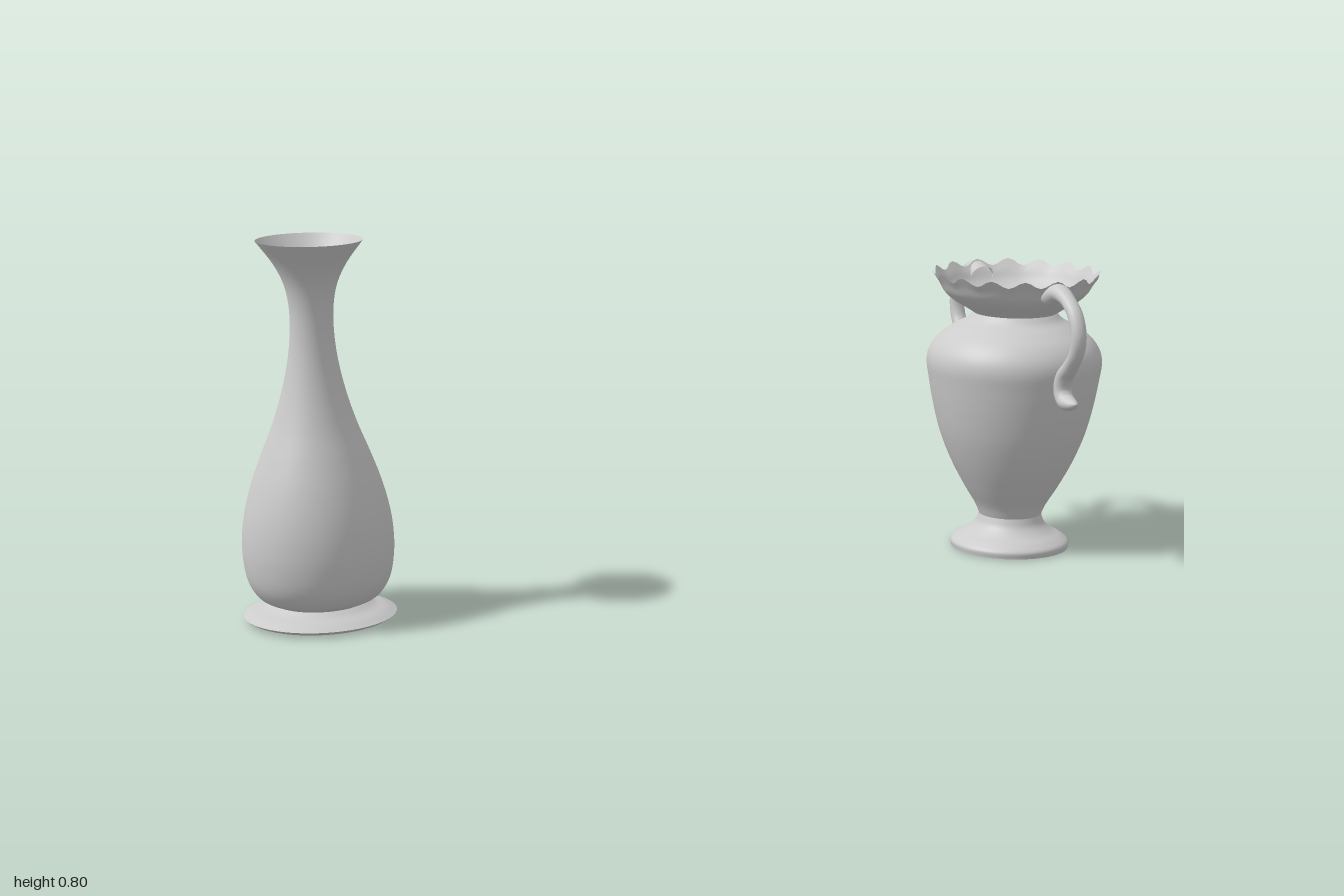
import * as THREE from 'three';

const material = new THREE.MeshStandardMaterial({ color: 0xcccccc, side: THREE.DoubleSide });
const SEGMENTS = 96;

// Smooth lathe through a few [radius, height] points, bottom to top.
function turned(name, points, steps = 60) {
  const curve = new THREE.CatmullRomCurve3(
    points.map(([r, y]) => new THREE.Vector3(r, y, 0)), false, 'centripetal');
  const profile = curve.getPoints(steps).map((p) => new THREE.Vector2(Math.max(p.x, 0), p.y));
  const mesh = new THREE.Mesh(new THREE.LatheGeometry(profile, SEGMENTS), material);
  mesh.name = name;
  return mesh;
}

// Slender bottle on a thin saucer foot
function createBottle() {
  const bottle = new THREE.Group();
  bottle.name = 'bottle';
  const underside = turned('footUnderside', [[0, 0.004], [0.08, 0.004], [0.145, 0.006], [0.16, 0.015]], 12);
  const foot = turned('foot', [[0.16, 0.015], [0.14, 0.024], [0.115, 0.032], [0.098, 0.041]], 16);
  const body = turned('bottleBody', [
    [0.098, 0.041], [0.125, 0.055], [0.147, 0.088], [0.157, 0.14], [0.157, 0.19], [0.15, 0.24],
    [0.134, 0.3], [0.112, 0.36], [0.088, 0.42], [0.066, 0.49], [0.051, 0.56], [0.045, 0.62],
    [0.046, 0.67], [0.055, 0.715], [0.075, 0.757], [0.11, 0.805],
  ]);
  bottle.add(underside, foot, body);
  return bottle;
}

// Flared collar whose edge ripples into scallops
function createCollar() {
  const collar = turned('scallopedCollar', [
    [0.095, 0.557], [0.115, 0.57], [0.145, 0.588], [0.165, 0.607], [0.177, 0.628], [0.189, 0.646],
  ], 24);
  const pos = collar.geometry.attributes.position;
  for (let i = 0; i < pos.count; i++) {
    const x = pos.getX(i), y = pos.getY(i), z = pos.getZ(i);
    const t = THREE.MathUtils.clamp((y - 0.59) / 0.056, 0, 1);
    const wave = Math.cos(16 * Math.atan2(z, x)) * t * t;
    const scale = 1 + 0.02 * wave;
    pos.setXYZ(i, x * scale, y + 0.008 * wave, z * scale);
  }
  collar.geometry.computeVertexNormals();
  return collar;
}

// S-shaped handle: a tube whose radius tapers to a pointed curl
function createHandle(side) {
  const path = new THREE.CatmullRomCurve3([
    [0.165, 0.618], [0.2, 0.63], [0.24, 0.618], [0.275, 0.588], [0.291, 0.545], [0.283, 0.505],
    [0.258, 0.472], [0.234, 0.445], [0.228, 0.415], [0.242, 0.394], [0.265, 0.39], [0.29, 0.394],
  ].map(([z, y]) => new THREE.Vector3(0, y, z * side)));
  const rings = 72, around = 16;
  const geometry = new THREE.TubeGeometry(path, rings, 1, around);
  const pos = geometry.attributes.position;
  const v = new THREE.Vector3();
  for (let i = 0; i <= rings; i++) {
    const t = i / rings;
    const centre = path.getPointAt(t);
    let radius = 0.015 + 0.009 * Math.max(0, 1 - t / 0.2);
    radius += 0.003 * THREE.MathUtils.smoothstep(t, 0.55, 0.75);
    if (t > 0.9) radius *= Math.sqrt(Math.max(0, (1 - t) / 0.1));
    for (let j = 0; j <= around; j++) {
      const k = i * (around + 1) + j;
      v.fromBufferAttribute(pos, k).sub(centre).multiplyScalar(radius);
      v.x *= 1.2;
      v.add(centre);
      pos.setXYZ(k, v.x, v.y, v.z);
    }
  }
  geometry.computeVertexNormals();
  const handle = new THREE.Mesh(geometry, material);
  handle.name = side > 0 ? 'frontHandle' : 'backHandle';
  return handle;
}

// Open two-handled urn with a hollow foot
function createUrn() {
  const urn = new THREE.Group();
  urn.name = 'urn';
  const foot = turned('urnFoot', [
    [0.136, 0.004], [0.137, 0.018], [0.122, 0.031], [0.098, 0.045], [0.08, 0.062], [0.072, 0.082],
  ], 28);
  const body = turned('urnBody', [
    [0.072, 0.082], [0.082, 0.105], [0.108, 0.148], [0.14, 0.208], [0.167, 0.275], [0.184, 0.34],
    [0.196, 0.405], [0.201, 0.445], [0.195, 0.472], [0.175, 0.5], [0.14, 0.525], [0.11, 0.542],
    [0.095, 0.557],
  ]);
  urn.add(foot, body, createCollar());
  for (const side of [1, -1]) urn.add(createHandle(side));
  return urn;
}

export function createModel() {
  const model = new THREE.Group();
  model.name = 'vasePair';
  const bottle = createBottle();
  bottle.position.x = -0.84;
  const urn = createUrn();
  urn.position.x = 0.798;
  model.add(bottle, urn);
  return model;
}
